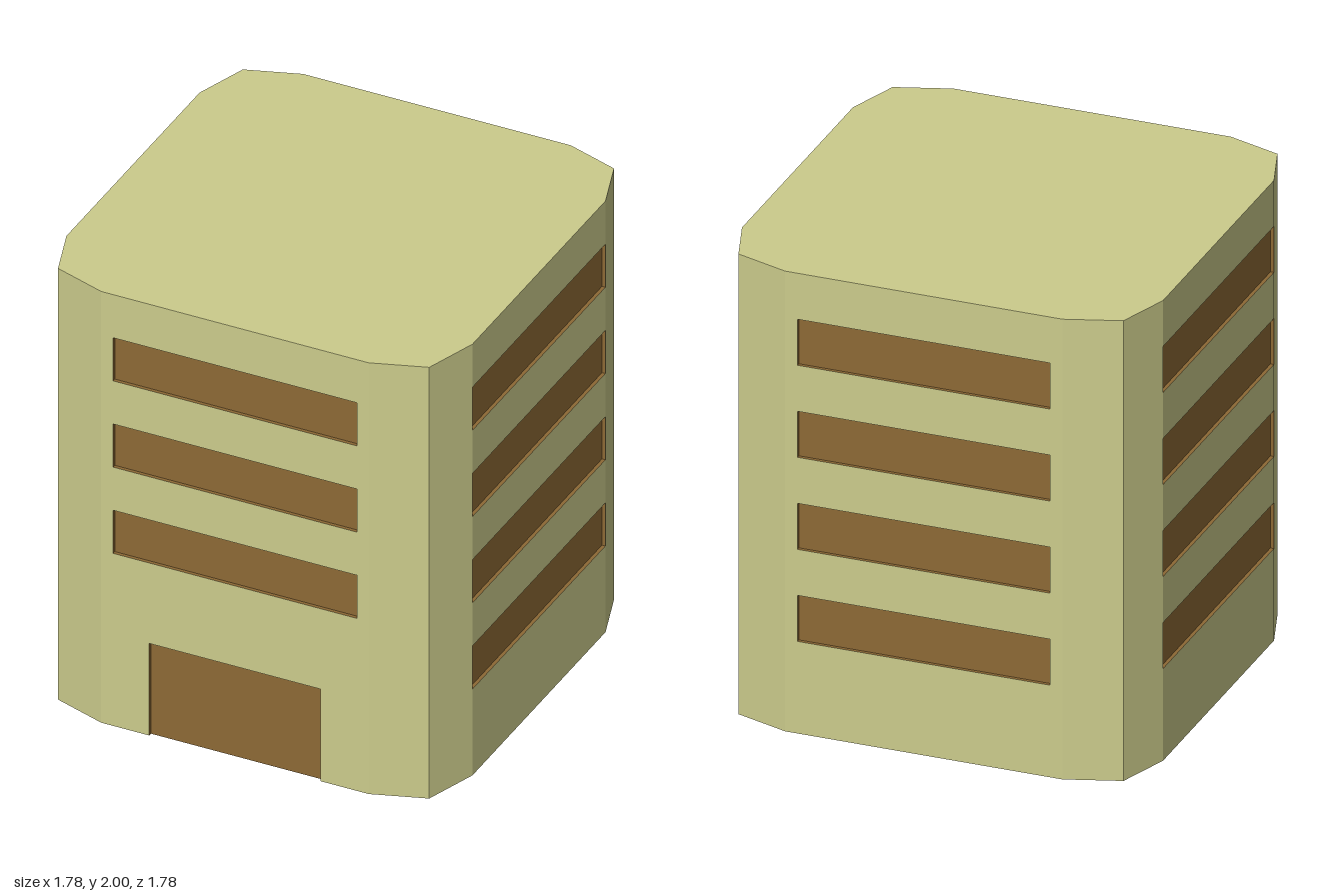
import * as THREE from 'three';

const HALF = 0.888, FLAT = 0.585, CORNER = 0.812, HEIGHT = 2, DEPTH = 0.015;
const DOOR = { half: 0.375, top: 0.427 };
const QUARTER = Math.PI / 2;

export function createModel() {
  const building = new THREE.Group();
  building.name = 'building';
  const wallMat = new THREE.MeshStandardMaterial({ color: 0xcccc8c, flatShading: true, side: THREE.DoubleSide });
  const recessMat = new THREE.MeshStandardMaterial({ color: 0x8d6935, flatShading: true, side: THREE.DoubleSide });

  const add = (parent, name, geometry, material) => {
    const mesh = new THREE.Mesh(geometry, material);
    mesh.name = name;
    parent.add(mesh);
  };
  const toPoints = (list) => list.map(([x, y]) => new THREE.Vector2(x, y));

  // Shallow pocket: back panel, two jambs, a top and, if wanted, a sill, all facing into the opening
  const addRecess = (parent, name, half, y0, y1, hasSill) => {
    const recess = new THREE.Group();
    recess.name = name;
    parent.add(recess);
    const h = y1 - y0, mid = (y0 + y1) / 2, z = HALF - DEPTH / 2;
    add(recess, 'panel', new THREE.PlaneGeometry(2 * half, h).translate(0, mid, HALF - DEPTH), recessMat);
    for (const s of [-1, 1]) {
      add(recess, 'jamb', new THREE.PlaneGeometry(DEPTH, h).rotateY(-s * QUARTER).translate(s * half, mid, z), recessMat);
    }
    const lintel = new THREE.PlaneGeometry(2 * half, DEPTH);
    add(recess, 'lintel', lintel.clone().rotateX(QUARTER).translate(0, y1, z), recessMat);
    if (hasSill) add(recess, 'sill', lintel.clone().rotateX(-QUARTER).translate(0, y0, z), recessMat);
  };

  // One flat facade with window bands cut out, plus the two corner facets beside it
  const addSide = (name, angle, windowHalf, levels, hasDoor) => {
    const side = new THREE.Group();
    side.name = name;
    side.rotation.y = angle;
    building.add(side);

    const outline = [[-FLAT, 0]];
    if (hasDoor) {
      outline.push([-DOOR.half, 0], [-DOOR.half, DOOR.top], [DOOR.half, DOOR.top], [DOOR.half, 0]);
      addRecess(side, 'door', DOOR.half, 0, DOOR.top, false);
    }
    outline.push([FLAT, 0], [FLAT, HEIGHT], [-FLAT, HEIGHT]);
    const shape = new THREE.Shape(toPoints(outline));
    for (const y of levels) {
      const w = windowHalf;
      shape.holes.push(new THREE.Path(toPoints([[-w, y], [-w, y + 0.2], [w, y + 0.2], [w, y]])));
      addRecess(side, 'windowBand', w, y, y + 0.2, true);
    }
    add(side, 'wall', new THREE.ShapeGeometry(shape).translate(0, 0, HALF), wallMat);

    const dx = CORNER - FLAT, dz = HALF - CORNER;
    for (const s of [-1, 1]) {
      const facet = new THREE.PlaneGeometry(Math.hypot(dx, dz), HEIGHT);
      facet.rotateY(s * Math.atan2(dz, dx));
      facet.translate(s * (FLAT + CORNER) / 2, HEIGHT / 2, (HALF + CORNER) / 2);
      add(side, 'cornerFacet', facet, wallMat);
    }
  };

  addSide('frontSide', 0, 0.533, [0.8, 1.2, 1.6], true);
  addSide('backSide', Math.PI, 0.533, [0.4, 0.8, 1.2, 1.6], false);
  addSide('leftSide', QUARTER, 0.584, [0.4, 0.8, 1.2, 1.6], false);
  addSide('rightSide', -QUARTER, 0.584, [0.4, 0.8, 1.2, 1.6], false);

  // Roof and floor share the twelve-sided footprint, starting at the front right corner
  const footprint = [];
  for (let i = 0; i < 4; i++) {
    for (const p of toPoints([[FLAT, HALF], [CORNER, CORNER], [HALF, FLAT]])) {
      footprint.push(p.rotateAround(new THREE.Vector2(), -i * QUARTER));
    }
  }
  const roof = new THREE.ShapeGeometry(new THREE.Shape(footprint));
  add(building, 'roof', roof.rotateX(-QUARTER).translate(0, HEIGHT, 0), wallMat);

  // The floor is notched under the door
  const w = DOOR.half, inner = HALF - DEPTH;
  const notch = toPoints([[-w, HALF], [-w, inner], [w, inner], [w, HALF]]);
  const floor = new THREE.ShapeGeometry(new THREE.Shape([...footprint, ...notch]));
  add(building, 'floor', floor.rotateX(QUARTER), wallMat);
  return building;
}
